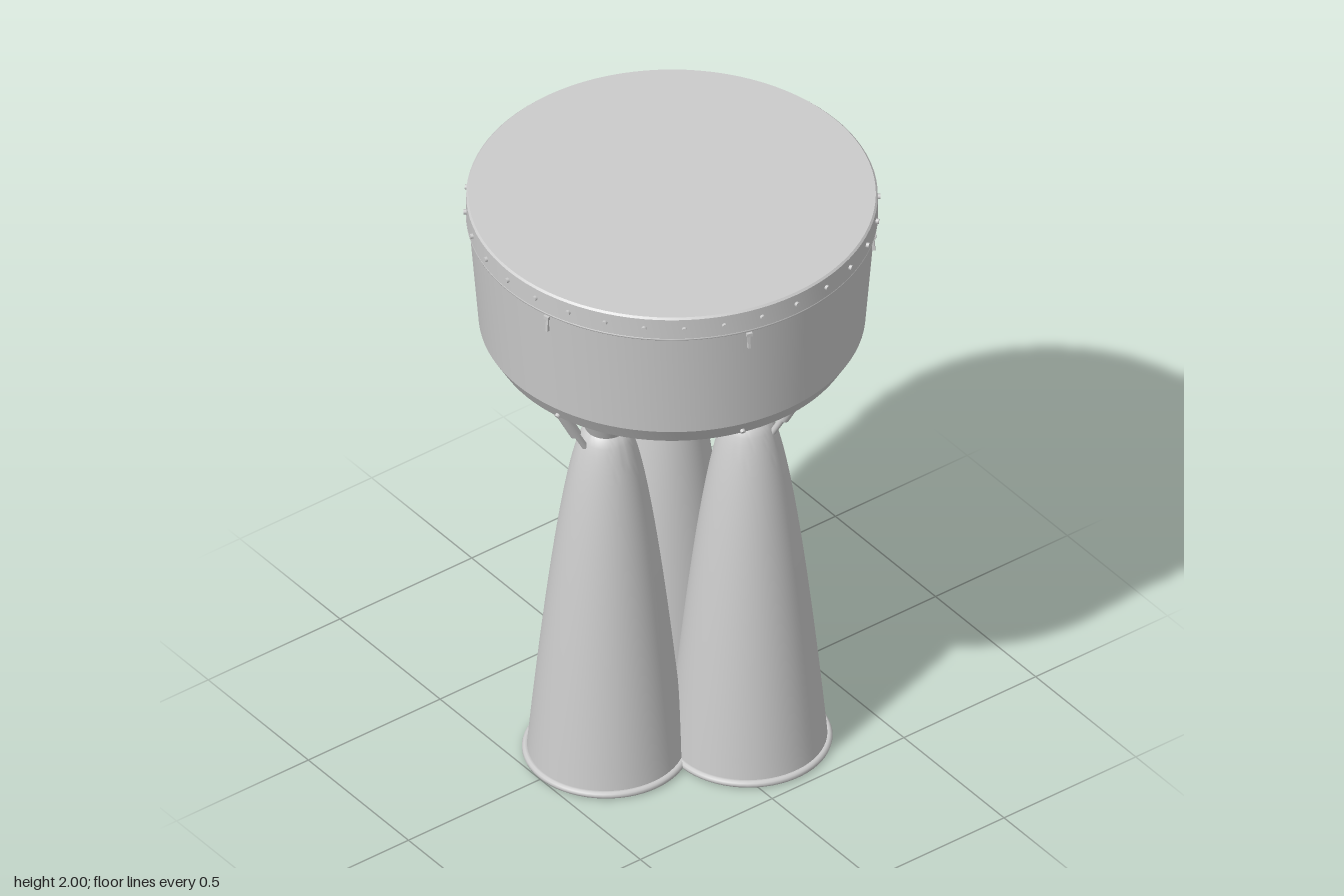
import * as THREE from 'three';
import { toCreasedNormals } from 'three/addons/utils/BufferGeometryUtils.js';

const grey = new THREE.MeshStandardMaterial({ color: 0xcccccc });
const greyOpen = new THREE.MeshStandardMaterial({ color: 0xcccccc, side: THREE.DoubleSide });

function add(parent, name, geometry, material = grey) {
  const mesh = new THREE.Mesh(geometry, material);
  mesh.name = name;
  parent.add(mesh);
  return mesh;
}

// Turned part from [radius, y] pairs listed bottom to top
function turned(points, segments = 64, crease = 0.35) {
  const profile = points.map(([r, y]) => new THREE.Vector2(r, y));
  return toCreasedNormals(new THREE.LatheGeometry(profile, segments), crease);
}

// Horizontal ring
function ring(parent, name, radius, tube, y, segments = 64) {
  const mesh = add(parent, name, new THREE.TorusGeometry(radius, tube, 10, segments));
  mesh.rotation.x = Math.PI / 2;
  mesh.position.y = y;
}

// Straight rod between two points
function rod(parent, name, from, to, radius) {
  const a = new THREE.Vector3(...from), b = new THREE.Vector3(...to);
  const dir = b.clone().sub(a);
  const mesh = add(parent, name, new THREE.CylinderGeometry(radius, radius, dir.length(), 16));
  mesh.position.copy(a).add(b).multiplyScalar(0.5);
  mesh.quaternion.setFromUnitVectors(new THREE.Vector3(0, 1, 0), dir.normalize());
}

// Pivot turned about y, so its local +z points outwards
function spoke(parent, name, degrees) {
  const group = new THREE.Group();
  group.name = name;
  group.rotation.y = THREE.MathUtils.degToRad(degrees);
  parent.add(group);
  return group;
}

function createEngine(parent) {
  const engine = new THREE.Group();
  engine.name = 'engine';
  engine.position.z = 0.25;
  parent.add(engine);

  // Open bell, flaring quickly below the throat
  const bell = [];
  for (let i = 24; i >= 0; i--) {
    const t = (i / 24) ** 1.5;
    bell.push([0.063 + 0.177 * t ** 0.62, 1.23 - 1.215 * t]);
  }
  add(engine, 'nozzleBell', turned(bell, 64, 0.8), greyOpen);
  ring(engine, 'nozzleLip', 0.243, 0.012, 0.013);

  // Combustion chamber with its cooling bands
  add(engine, 'combustionChamber',
    turned([[0.063, 1.23], [0.1, 1.31], [0.1, 1.49]], 48), greyOpen);
  for (const y of [1.395, 1.44]) ring(engine, 'chamberBand', 0.1, 0.007, y, 48);
}

export function createModel() {
  const model = new THREE.Group();
  model.name = 'rocketEngineSection';

  // Tapered housing with a chamfered foot and an upright rim
  add(model, 'housing', turned([
    [0, 1.48], [0.55, 1.48], [0.585, 1.54], [0.615, 1.92],
    [0.622, 1.923], [0.622, 1.994], [0.616, 2], [0, 2],
  ], 96));
  ring(model, 'rimSeam', 0.617, 0.006, 1.92, 96);

  // Rivets around the rim
  for (let i = 0; i < 32; i++) {
    const pivot = spoke(model, 'rimRivet', i * 11.25);
    const rivet = add(pivot, 'rivetHead', new THREE.CylinderGeometry(0.008, 0.008, 0.016, 10));
    rivet.rotation.x = Math.PI / 2;
    rivet.position.set(0, 1.96, 0.623);
  }

  // Small hooks below the rim and studs on the chamfer
  for (let i = 0; i < 6; i++) {
    const pivot = spoke(model, 'sideFitting', 15 + i * 60);
    const plate = add(pivot, 'hookPlate', new THREE.BoxGeometry(0.018, 0.012, 0.016));
    plate.position.set(0, 1.902, 0.615);
    const stem = add(pivot, 'hookStem', new THREE.BoxGeometry(0.008, 0.055, 0.01));
    stem.position.set(0, 1.877, 0.613);
    stem.rotation.x = -0.08;
    const stud = add(pivot, 'footStud', new THREE.CylinderGeometry(0.008, 0.008, 0.016, 10));
    stud.position.set(0, 1.498, 0.562);
    stud.rotation.x = Math.PI / 2 + 0.53;
  }

  // Central exhaust duct
  const duct = add(model, 'centreDuct', new THREE.CylinderGeometry(0.073, 0.073, 0.325, 40));
  duct.position.y = 1.3275;

  // Three engines, each with a two-stage steering strut
  for (let i = 0; i < 3; i++) {
    const pivot = spoke(model, 'engineAssembly', i * 120);
    createEngine(pivot);
    rod(pivot, 'strutCylinder', [0, 1.49, 0.488], [0, 1.255, 0.366], 0.018);
    rod(pivot, 'strutPiston', [0, 1.27, 0.373], [0, 1.19, 0.33], 0.01);
  }
  return model;
}
